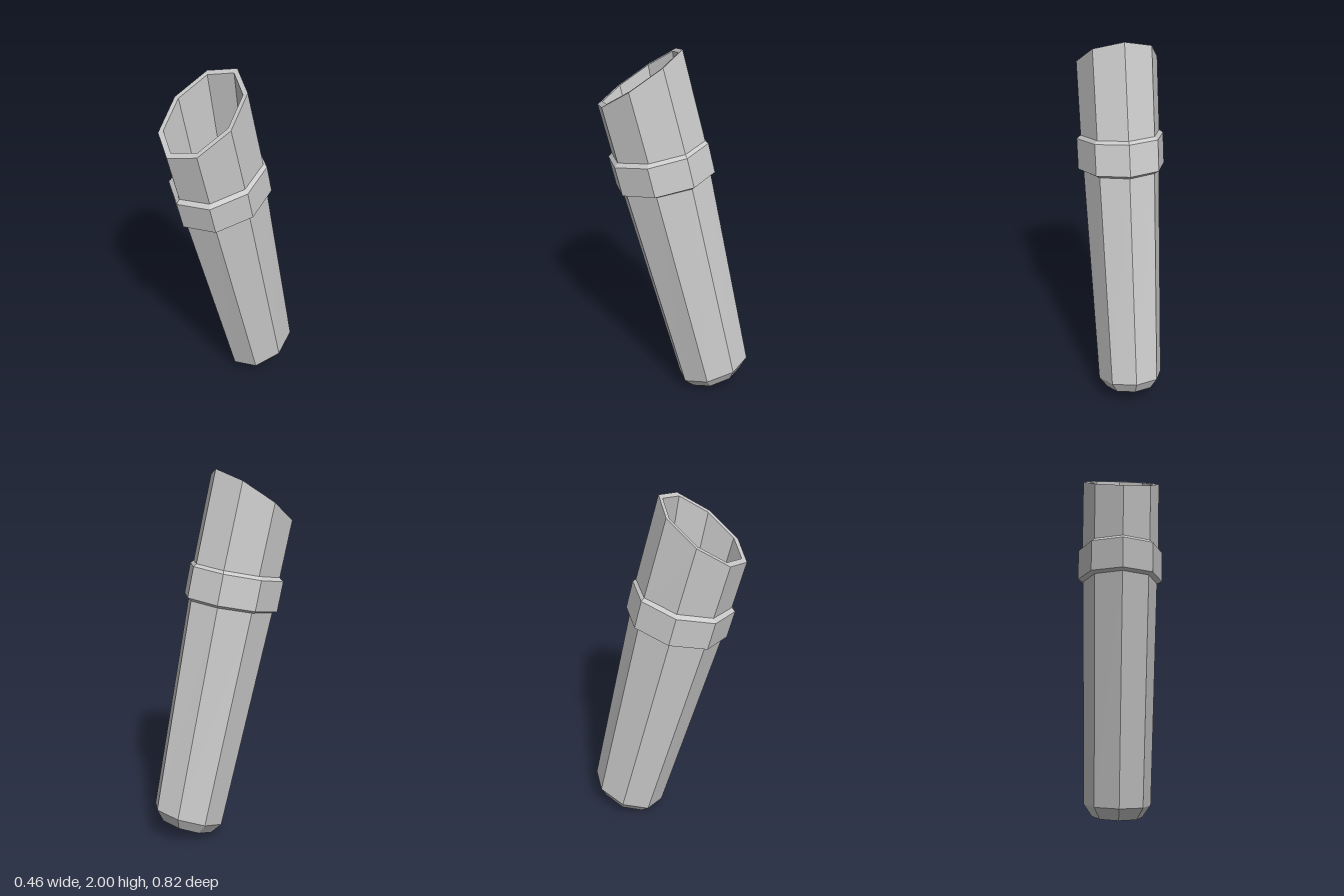
import * as THREE from 'three';

const SIDES = 8;

// One octagonal section: front point (z, y), back point (z, y) and half width in x
function ring([fz, fy, bz, by, w]) {
  const points = [];
  for (let i = 0; i < SIDES; i++) {
    const a = (i / SIDES) * Math.PI * 2;
    const c = Math.cos(a);
    points.push(new THREE.Vector3(
      Math.sin(a) * w,
      (fy + by) / 2 + (c * (fy - by)) / 2,
      (fz + bz) / 2 + (c * (fz - bz)) / 2
    ));
  }
  return points;
}

// Skin a series of sections with flat quads, optionally closing both ends
function loft(sections, capped) {
  const rings = sections.map(ring);
  const pos = [];
  const tri = (...v) => v.forEach((p) => pos.push(p.x, p.y, p.z));
  const middle = (r) => r[0].clone().add(r[SIDES / 2]).multiplyScalar(0.5);
  const first = rings[0];
  const last = rings[rings.length - 1];
  for (let i = 0; i < SIDES; i++) {
    const j = (i + 1) % SIDES;
    for (let k = 0; k < rings.length - 1; k++) {
      const a = rings[k];
      const b = rings[k + 1];
      tri(a[i], a[j], b[j]);
      tri(a[i], b[j], b[i]);
    }
    if (capped) {
      tri(middle(first), first[j], first[i]);
      tri(middle(last), last[i], last[j]);
    }
  }
  const geometry = new THREE.BufferGeometry();
  geometry.setAttribute('position', new THREE.Float32BufferAttribute(pos, 3));
  geometry.computeVertexNormals();
  return geometry;
}

export function createModel() {
  const group = new THREE.Group();
  const material = new THREE.MeshStandardMaterial({ color: 0xcccccc, flatShading: true });
  const add = (name, geometry) => {
    const mesh = new THREE.Mesh(geometry, material);
    mesh.name = name;
    group.add(mesh);
  };

  // Leaning hollow tube: chamfered foot, slanted mouth, then back down the inside
  add('tube', loft([
    [-0.08, 0.0, -0.373, 0.117, 0.132],
    [-0.02, 0.045, -0.41, 0.193, 0.175],
    [0.304, 1.225, -0.183, 1.335, 0.202],
    [0.347, 1.41, -0.15, 1.525, 0.209],
    [0.412, 1.677, -0.031, 2.0, 0.211],
    [0.385, 1.695, -0.01, 1.983, 0.186],
    [0.23, 1.09, -0.11, 1.19, 0.16],
    [-0.04, 0.1, -0.36, 0.22, 0.142],
  ], true));

  // Raised band around the tube
  add('collar', loft([
    [0.304, 1.222, -0.183, 1.332, 0.202],
    [0.328, 1.23, -0.204, 1.352, 0.23],
    [0.365, 1.388, -0.167, 1.512, 0.23],
    [0.347, 1.41, -0.15, 1.525, 0.209],
  ], false));

  return group;
}
